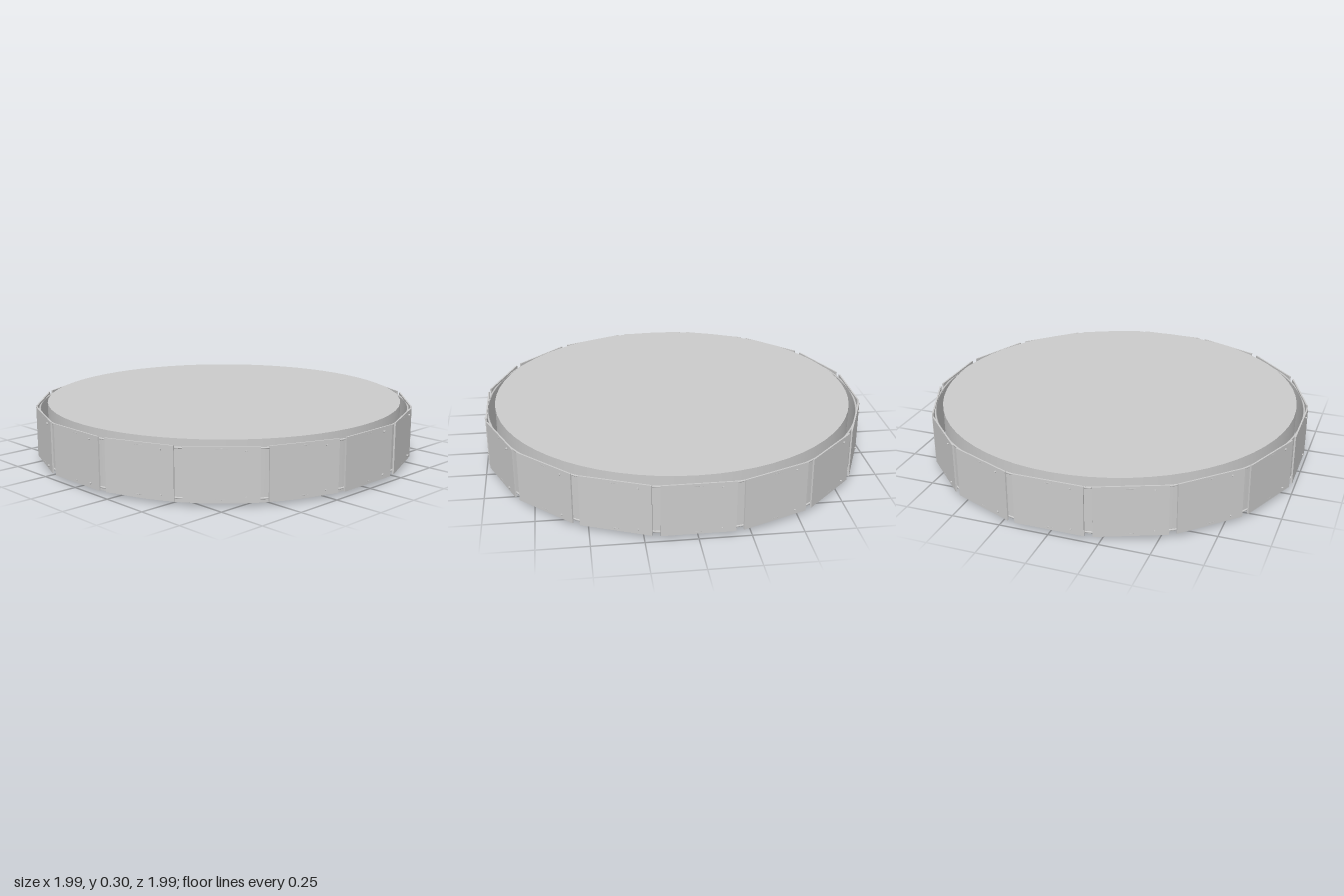
import * as THREE from 'three';

const COUNT = 16;          // plates around the drum
const MID = 0.152;         // middle height of the plate belt
const grey = new THREE.MeshStandardMaterial({ color: 0xcccccc });
const thin = new THREE.MeshStandardMaterial({ color: 0xcccccc, side: THREE.DoubleSide });

function add(parent, name, geometry, x = 0, y = 0, z = 0, material = grey) {
  const mesh = new THREE.Mesh(geometry, material);
  mesh.name = name;
  mesh.position.set(x, y, z);
  parent.add(mesh);
  return mesh;
}

export function createModel() {
  const model = new THREE.Group();
  model.name = 'platedDrum';

  // Solid round core
  add(model, 'drum', new THREE.CylinderGeometry(0.943, 0.943, 0.302, 64), 0, 0.151, 0);

  // Thin backing band seen in the gaps between plates
  add(model, 'backingBand', new THREE.CylinderGeometry(0.978, 0.978, 0.235, 96, 1, true), 0, MID, 0, thin);

  // Hoops along both edges, just breaking through the middle of each plate
  for (const side of [-1, 1]) {
    const hoop = add(model, 'hoop', new THREE.TorusGeometry(0.984, 0.005, 8, 96), 0, MID + side * 0.118, 0);
    hoop.rotation.x = Math.PI / 2;
  }

  // Flat plates, each with two rivets near one end
  const plateShape = new THREE.BoxGeometry(0.352, 0.262, 0.008);
  const rivetShape = new THREE.CylinderGeometry(0.005, 0.005, 0.012, 10).rotateX(Math.PI / 2);
  for (let i = 0; i < COUNT; i++) {
    const segment = new THREE.Group();
    segment.name = 'plateSegment';
    segment.rotation.y = (i / COUNT) * Math.PI * 2;
    add(segment, 'plate', plateShape, 0, MID, 0.984);
    for (const side of [-1, 1]) {
      add(segment, 'rivet', rivetShape, 0.11, MID + side * 0.108, 0.99);
    }
    model.add(segment);
  }
  return model;
}
